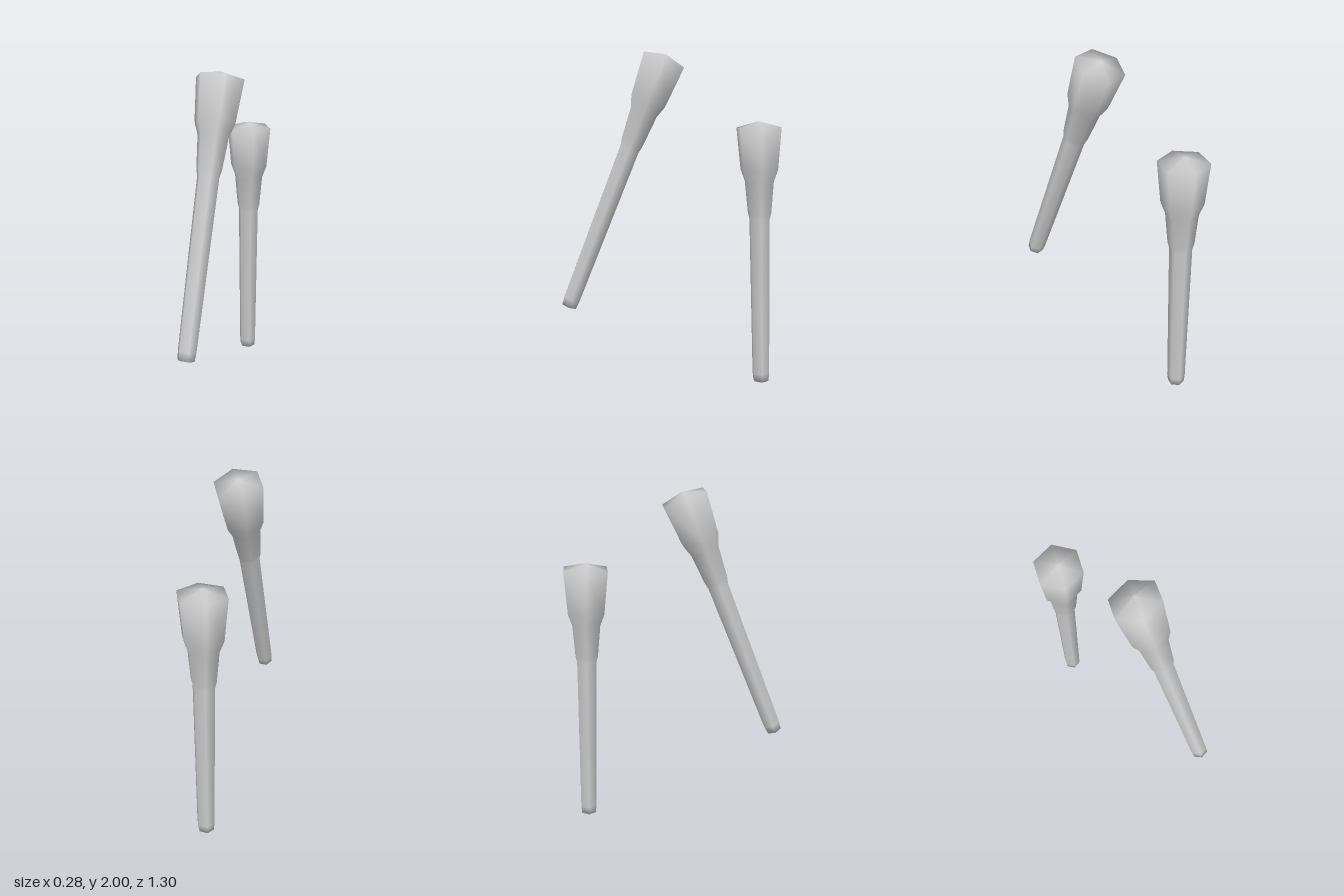
import * as THREE from 'three';

export function createModel() {
  const model = new THREE.Group();
  const material = new THREE.MeshStandardMaterial({ color: 0xcccccc });

  // Half profile from foot to domed tip: [radius, height]
  const profile = [
    [0, 0], [0.05, 0], [0.055, 0.05], [0.065, 1.02], [0.075, 1.06],
    [0.092, 1.25], [0.119, 1.32], [0.142, 1.57], [0, 1.606],
  ].map(([r, y]) => new THREE.Vector2(r, y));

  // Six-sided club with corners on the x axis
  const clubGeometry = new THREE.LatheGeometry(profile, 6, Math.PI / 2);

  function addClub(name, y, z, tilt) {
    const club = new THREE.Mesh(clubGeometry, material);
    club.name = name;
    club.position.set(-0.003, y, z);
    club.rotation.set(tilt, 0, -0.002);
    model.add(club);
  }

  addClub('leaningClub', 0.498, 0.612, -0.375);
  addClub('uprightClub', 0.002, -0.57, 0.029);
  return model;
}
